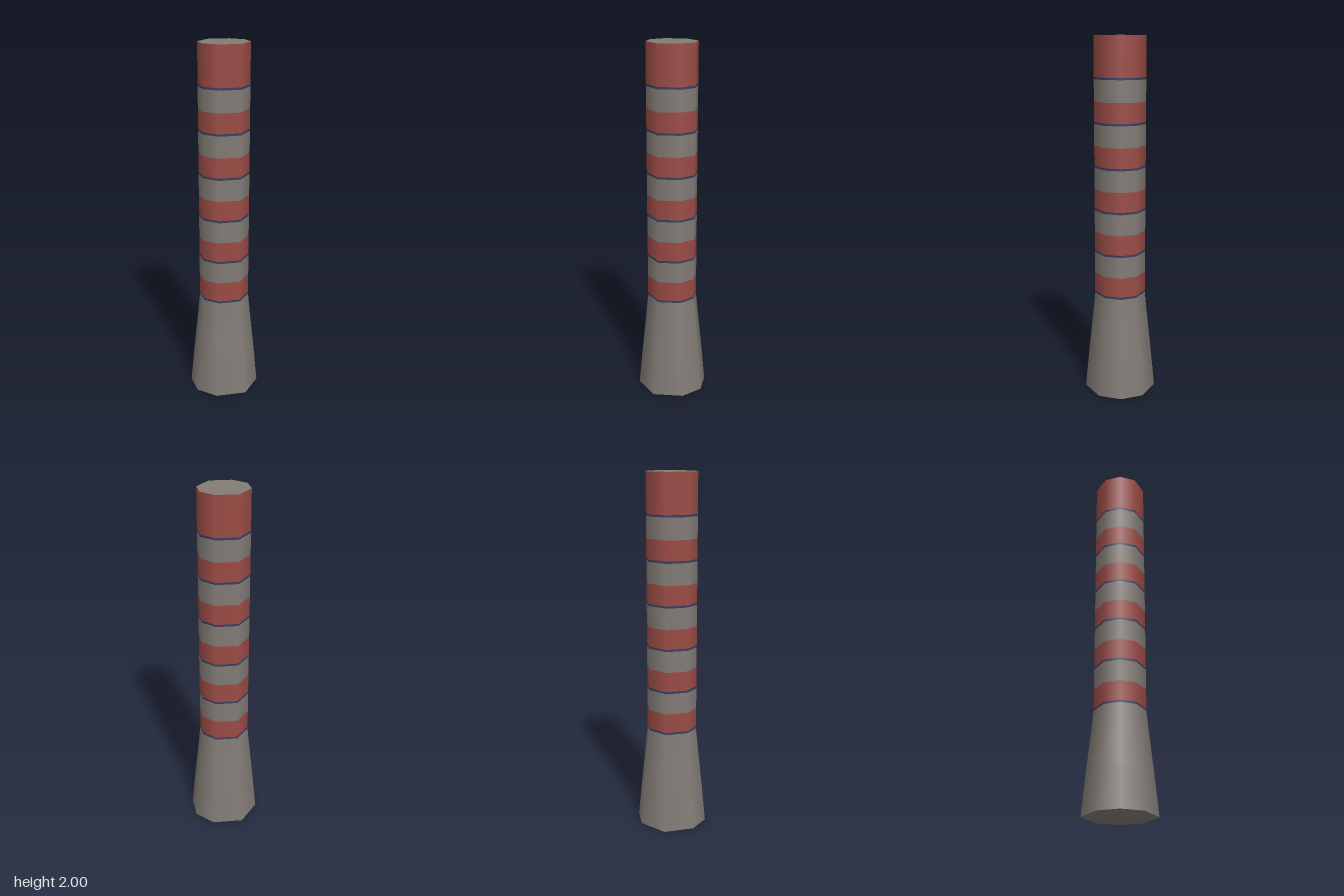
import * as THREE from 'three';

const paint = (name, color) => {
  const m = new THREE.MeshStandardMaterial({ color });
  m.name = name;
  return m;
};

export function createModel() {
  const grey = paint('stone grey', 0x827c76);
  const red = paint('brick red', 0x9c4c46);
  const navy = paint('dark blue', 0x3a3f66);

  const group = new THREE.Group();
  group.name = 'stripedChimney';

  // The eight-sided outline has its diagonal corners pushed towards the sides
  const reshape = (geo) => {
    const p = geo.attributes.position;
    for (let i = 0; i < p.count; i++) {
      const x = p.getX(i), z = p.getZ(i);
      if (Math.abs(x) > 0.01 && Math.abs(z) > 0.01) {
        p.setX(i, x * 1.08);
        p.setZ(i, z * 0.87);
      }
    }
    return geo;
  };

  const add = (name, geo, material, y) => {
    const mesh = new THREE.Mesh(reshape(geo), material);
    mesh.name = name;
    mesh.position.y = y;
    group.add(mesh);
    return mesh;
  };

  // One open, smooth-shaded section of the shaft
  const section = (name, y0, y1, r0, r1, material) =>
    add(name, new THREE.CylinderGeometry(r1, r0, y1 - y0, 8, 1, true), material, (y0 + y1) / 2);

  // Flared base in three tapering courses
  const base = [[0, 0.2], [0.225, 0.178], [0.455, 0.153], [0.568, 0.142]];
  for (let i = 0; i < 3; i++) {
    section('baseCourse' + (i + 1), base[i][0], base[i + 1][0], base[i][1], base[i + 1][1], grey);
  }

  // Straight shaft: thin blue joint, red band, grey band, repeated
  const R = 0.142, joint = 0.012, step = 0.2402;
  for (let i = 0; i < 6; i++) {
    const y = 0.568 + i * step;
    const mid = y + 0.122;
    section('blueJoint' + (i + 1), y, y + joint, R, R, navy);
    section('redBand' + (i + 1), y + joint, mid, R, R, red);
    if (i < 5) section('greyBand' + (i + 1), mid, y + step, R, R, grey);
    else section('topRedBand', mid, 2, R, R, red);
  }

  // Flat end caps
  const cap = (r, tilt) => new THREE.CircleGeometry(r, 8).rotateX(tilt);
  add('topCap', cap(R, -Math.PI / 2), grey, 2);
  add('bottomCap', cap(0.2, Math.PI / 2), grey, 0);

  return group;
}
